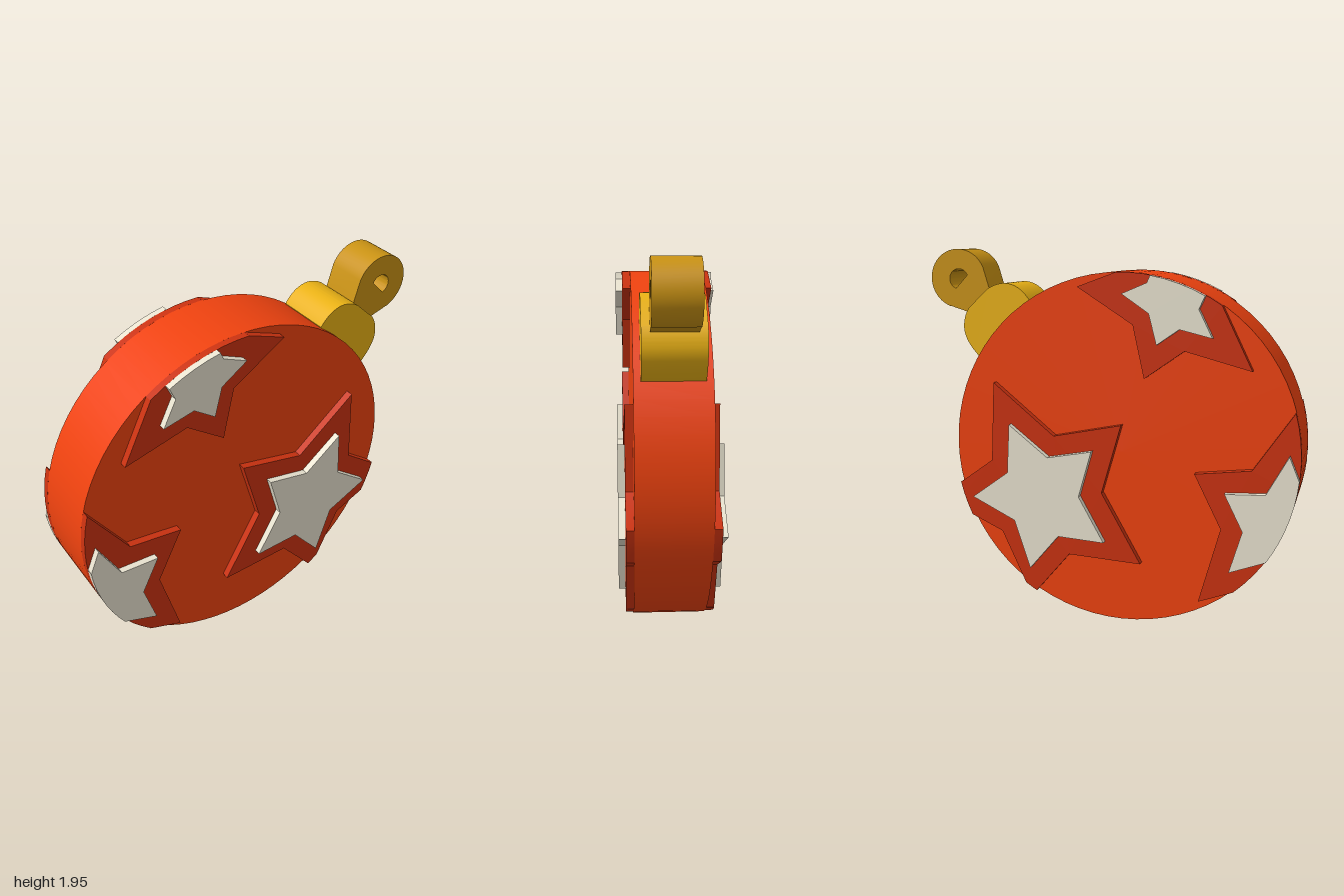
import * as THREE from 'three';
import { toCreasedNormals } from 'three/addons/utils/BufferGeometryUtils.js';

const CX = -0.08, CY = 0.92, R = 0.92;
const mat = (color) => new THREE.MeshStandardMaterial({ color, roughness: 0.8 });
const red = mat(0xee420f), darkRed = mat(0xca3210), cream = mat(0xe9e3d0);
const gold = mat(0xe9b115), darkGold = mat(0xc99214);

// Outline whose neighbouring points on the rim are joined along the circle
function rimShape(points) {
  const out = [];
  points.forEach(([x, y], i) => {
    const [nx, ny] = points[(i + 1) % points.length];
    out.push(new THREE.Vector2(x, y));
    const onRim = (px, py) => Math.hypot(px - CX, py - CY) > 0.905;
    if (!onRim(x, y) || !onRim(nx, ny)) return;
    const a = Math.atan2(y - CY, x - CX);
    let d = Math.atan2(ny - CY, nx - CX) - a;
    d = Math.atan2(Math.sin(d), Math.cos(d));
    const n = Math.max(2, Math.ceil(Math.abs(d) / 0.08));
    for (let k = 0; k <= n; k++) {
      const t = a + (d * k) / n;
      out.push(new THREE.Vector2(CX + R * Math.cos(t), CY + R * Math.sin(t)));
    }
  });
  return new THREE.Shape(out);
}

// Flat plate between two z values
function plate(name, shape, z0, z1, material) {
  const geo = new THREE.ExtrudeGeometry(shape, { depth: z1 - z0, bevelEnabled: false, curveSegments: 16 });
  geo.translate(0, 0, z0);
  const mesh = new THREE.Mesh(toCreasedNormals(geo, 0.5), material);
  mesh.name = name;
  return mesh;
}

const stars = [
  { // large star, lower right
    name: 'largeStar',
    border: [[-0.085, 1.065], [0.28, 0.99], [0.61, 1.26], [0.63, 0.84], [0.81, 0.71], [0.755, 0.53],
      [0.58, 0.45], [0.45, 0.17], [0.385, 0.13], [0.2, 0.35], [-0.19, 0.33], [0.02, 0.7]],
    centre: [[0.065, 0.925], [0.305, 0.88], [0.515, 1.045], [0.53, 0.785], [0.73, 0.64],
      [0.495, 0.525], [0.41, 0.265], [0.25, 0.455], [0, 0.44], [0.135, 0.68]],
  },
  { // star cut off by the left rim
    name: 'sideStar',
    border: [[-0.965, 1.17], [-0.76, 0.87], [-0.47, 0.835], [-0.61, 0.555], [-0.5, 0.155], [-0.685, 0.225]],
    centre: [[-0.945, 0.96], [-0.835, 0.76], [-0.63, 0.75], [-0.725, 0.56], [-0.66, 0.34],
      [-0.845, 0.41], [-0.995, 0.84]],
  },
  { // star cut off by the top rim
    name: 'topStar',
    border: [[0.145, 1.765], [-0.145, 1.58], [-0.205, 1.31], [-0.41, 1.455], [-0.75, 1.365],
      [-0.595, 1.68], [-0.06, 1.84]],
    centre: [[-0.095, 1.735], [-0.235, 1.64], [-0.275, 1.485], [-0.39, 1.565], [-0.555, 1.525],
      [-0.485, 1.665], [-0.515, 1.73], [-0.24, 1.825], [-0.225, 1.79]],
  },
];

export function createModel() {
  const model = new THREE.Group();
  model.name = 'bauble';

  // Disc body
  const body = new THREE.Mesh(new THREE.CylinderGeometry(R, R, 0.37, 72).rotateX(Math.PI / 2), red);
  body.position.set(CX, CY, 0);
  body.name = 'body';
  model.add(body);

  // Raised stars on both faces
  for (const { name, border, centre } of stars) {
    const outer = rimShape(border), inner = rimShape(centre);
    for (const [side, s] of [['Front', 1], ['Back', -1]]) {
      const slab = (part, shape, a, b, m) =>
        plate(name + part + side, shape, Math.min(a * s, b * s), Math.max(a * s, b * s), m);
      model.add(slab('Border', outer, 0.185, 0.225, darkRed), slab('Centre', inner, 0.225, 0.26, cream));
    }
  }

  // Rounded cap on the shoulder
  const cap = new THREE.Shape();
  cap.moveTo(0.43, 1.69);
  cap.bezierCurveTo(0.47, 1.75, 0.52, 1.775, 0.57, 1.775);
  cap.quadraticCurveTo(0.62, 1.772, 0.663, 1.743);
  cap.lineTo(0.77, 1.645);
  cap.quadraticCurveTo(0.802, 1.6, 0.802, 1.54);
  cap.bezierCurveTo(0.8, 1.48, 0.76, 1.43, 0.717, 1.385);
  cap.lineTo(0.52, 1.48);
  model.add(plate('cap', cap, -0.15, 0.15, gold));

  // Hanging loop with a teardrop hole
  const loop = new THREE.Shape();
  loop.moveTo(0.665, 1.73);
  loop.lineTo(0.78, 1.615);
  loop.lineTo(0.895, 1.65);
  loop.absarc(0.845, 1.795, 0.155, -1.23, 2.75, false);
  const hole = new THREE.Path();
  hole.moveTo(0.77, 1.717);
  hole.absarc(0.842, 1.793, 0.053, 2.75, -1.23, true);
  hole.closePath();
  loop.holes.push(hole);
  model.add(plate('hangingLoop', loop, -0.11, 0.11, darkGold));

  return model;
}
